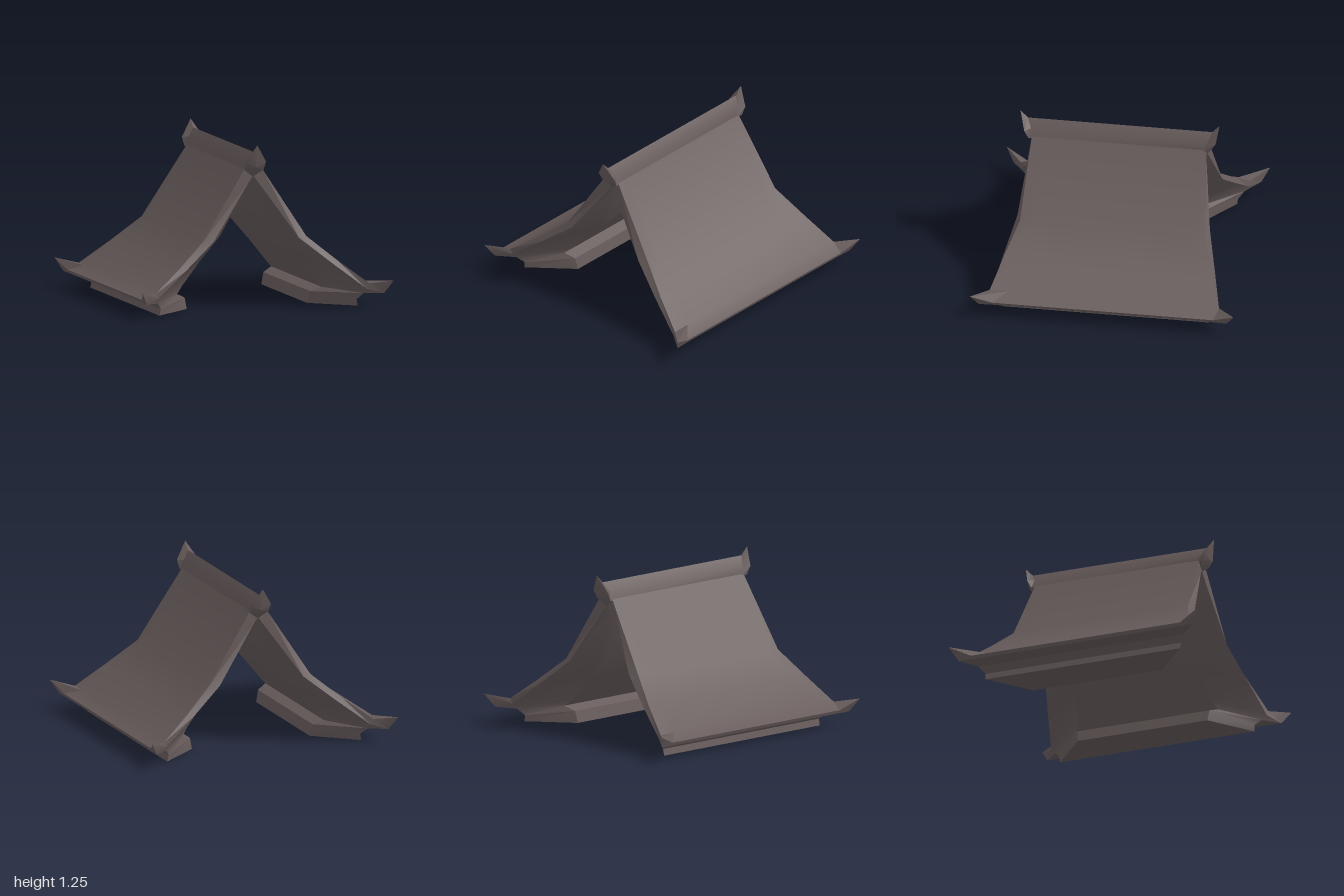
import * as THREE from 'three';
import { toCreasedNormals } from 'three/addons/utils/BufferGeometryUtils.js';

const material = new THREE.MeshStandardMaterial({ color: 0x685c5c });

// Points are [x, y, z] at the front end, optionally followed by [x, y, z]
// where the straight middle run begins.
const endOf = (p) => p.slice(0, 3);
const runOf = (p) => (p.length > 3 ? p.slice(3) : [p[0], p[1], p[2] * 0.84]);
const flipZ = ([x, y, z]) => [x, y, -z];
const flipX = ([x, y, z]) => [-x, y, z];

// Sweeps a profile front to back, closes both ends with the cap polygons,
// and mirrors the whole to the other side when asked.
function shell(profile, caps, sides) {
  const pos = [];
  const polygon = (points, side) => {
    const pts = side < 0 ? points.map(flipX).reverse() : points;
    for (let i = 1; i < pts.length - 1; i++) pos.push(...pts[0], ...pts[i], ...pts[i + 1]);
  };
  const columns = (p) => [flipZ(endOf(p)), flipZ(runOf(p)), runOf(p), endOf(p)];
  for (const side of sides) {
    for (let i = 0; i < profile.length - 1; i++) {
      const a = columns(profile[i]);
      const b = columns(profile[i + 1]);
      for (let j = 0; j < 3; j++) polygon([a[j], a[j + 1], b[j + 1], b[j]], side);
    }
    for (const cap of caps) {
      const pts = cap.map(endOf);
      polygon(pts, side);
      polygon(pts.map(flipZ).reverse(), side);
    }
  }
  const geometry = new THREE.BufferGeometry();
  geometry.setAttribute('position', new THREE.Float32BufferAttribute(pos, 3));
  return toCreasedNormals(geometry, 0.5);
}

// Quads joining two rows of points
const strip = (a, b, count) =>
  Array.from({ length: count }, (_, i) => [a[i], b[i], b[i + 1], a[i + 1]]);

function roofSlope(side) {
  // Top surface, ridge to upturned eave corner
  const top = [
    [0, 1.16, 0.66], [0.07, 1.06, 0.66], [0.41, 0.535, 0.70], [0.63, 0.35, 0.79],
    [0.85, 0.18, 0.87], [1, 0.21, 1, 0.95, 0.135, 0.84],
  ];
  const eaveBottom = [0.945, 0.11, 0.94, 0.94, 0.11, 0.84];
  // Lower edge of the gable board, then the outside of the wall plate
  const board = [
    [0, 1.01, 0.66], [0.03, 0.97, 0.66], [0.34, 0.53, 0.73], [0.58, 0.335, 0.80],
    [0.83, 0.14, 0.865], [0.82, 0.10, 0.83], [0.78, 0.05, 0.785], [0.79, 0, 0.78],
  ];
  // Underside, then the inside of the wall plate
  const under = [
    [0, 0.97, 0.60], [0.02, 0.93, 0.59], [0.22, 0.535, 0.52], [0.37, 0.36, 0.51],
    [0.52, 0.18, 0.53], [0.575, 0.125, 0.57], [0.50, 0.09, 0.53], [0.48, 0, 0.52],
  ];
  const profile = [...top, eaveBottom, ...board.slice(5), ...[...under].reverse()];
  const caps = [
    ...strip(top, board, 4),
    ...strip(board, under, 7),
    [top[4], board[4], eaveBottom, top[5]],
    [board[4], board[5], eaveBottom],
  ];
  return new THREE.Mesh(shell(profile, caps, [side]), material);
}

function ridgeCap() {
  // Slim ridge run flaring into a pointed finial at each end
  const [peak, shoulder, neck, foot] = [
    [0, 1.25, 0.755, 0, 1.19, 0.70],
    [0.083, 1.12, 0.715, 0.045, 1.125, 0.67],
    [0.075, 1.055, 0.685, 0.07, 1.055, 0.64],
    [0, 1.0, 0.655, 0, 1.0, 0.62],
  ];
  const middle = [0, 1.08, 0.725];
  const caps = [[peak, middle, shoulder], [shoulder, middle, neck], [middle, foot, neck]];
  return new THREE.Mesh(shell([peak, shoulder, neck, foot], caps, [1, -1]), material);
}

export function createModel() {
  const model = new THREE.Group();
  model.name = 'gableRoof';
  for (const side of [1, -1]) {
    const slope = roofSlope(side);
    slope.name = side > 0 ? 'leftRoofSlope' : 'rightRoofSlope';
    model.add(slope);
  }
  const ridge = ridgeCap();
  ridge.name = 'ridgeCap';
  model.add(ridge);
  return model;
}
